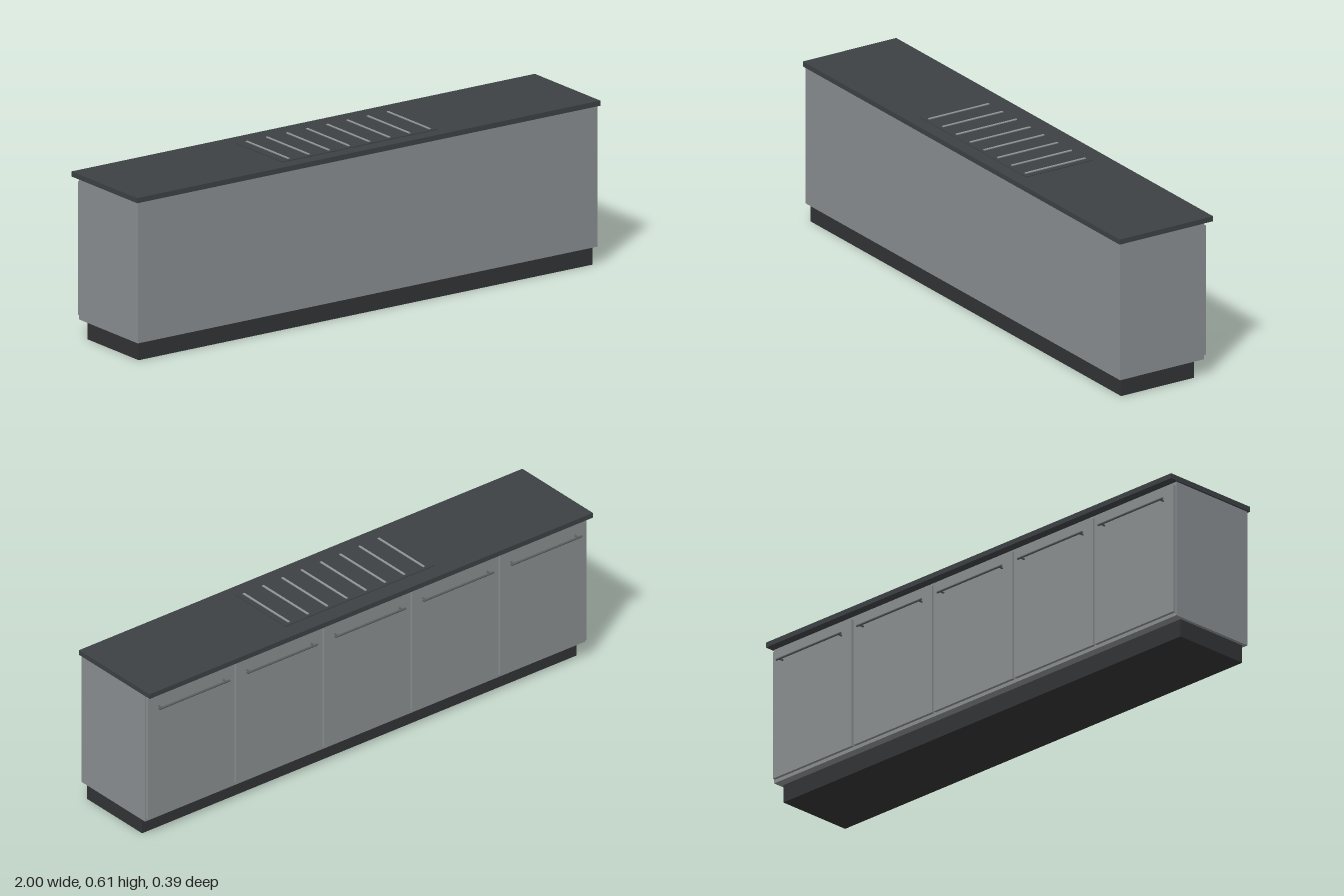
import * as THREE from 'three';

const paint = (color) => new THREE.MeshStandardMaterial({ color });

export function createModel() {
  const model = new THREE.Group();
  model.name = 'kitchenIsland';

  const cabinetPaint = paint(0x8a8e90);
  const worktopPaint = paint(0x3d4144);
  const plinthPaint = paint(0x323335);
  const handlePaint = paint(0x5a5c5e);
  const ribPaint = paint(0x909494);

  // Box given by its [min, max] range on each axis
  function box(name, material, [x0, x1], [y0, y1], [z0, z1], parent = model) {
    const mesh = new THREE.Mesh(new THREE.BoxGeometry(x1 - x0, y1 - y0, z1 - z0), material);
    mesh.position.set((x0 + x1) / 2, (y0 + y1) / 2, (z0 + z1) / 2);
    mesh.name = name;
    parent.add(mesh);
    return mesh;
  }

  // Recessed plinth, cabinet body and overhanging worktop
  box('plinth', plinthPaint, [-0.98, 0.98], [0, 0.067], [-0.13, 0.178]);
  box('cabinetBody', cabinetPaint, [-0.993, 0.993], [0.067, 0.584], [-0.163, 0.191]);
  box('worktop', worktopPaint, [-1, 1], [0.584, 0.603], [-0.197, 0.197]);

  // Raised plate with metal ribs, set into the worktop
  box('trivetPlate', worktopPaint, [-0.338, 0.335], [0.603, 0.606], [-0.133, 0.148]);
  for (let i = 0; i < 8; i++) {
    const x = -0.3 + i * 0.087;
    box('trivetRib', ribPaint, [x - 0.004, x + 0.004], [0.606, 0.609], [-0.12, 0.134]);
  }

  // Bar handle: a horizontal rod on two short posts
  const rod = new THREE.CylinderGeometry(0.004, 0.004, 0.318, 16).rotateZ(Math.PI / 2);
  const post = new THREE.CylinderGeometry(0.0035, 0.0035, 0.018, 12).rotateX(Math.PI / 2);
  function makeHandle() {
    const handle = new THREE.Group();
    handle.name = 'handle';
    const bar = new THREE.Mesh(rod, handlePaint);
    bar.name = 'handleBar';
    bar.position.z = -0.018;
    handle.add(bar);
    for (const side of [-1, 1]) {
      const leg = new THREE.Mesh(post, handlePaint);
      leg.name = 'handlePost';
      leg.position.set(side * 0.145, 0, -0.009);
      handle.add(leg);
    }
    return handle;
  }

  // Five doors along the back, each with a handle near the top
  const pitch = 0.397;
  for (let i = -2; i <= 2; i++) {
    const x = i * pitch;
    box('door', cabinetPaint, [x - 0.1945, x + 0.1945], [0.08, 0.57], [-0.174, -0.163]);
    const handle = makeHandle();
    handle.position.set(x, 0.523, -0.174);
    model.add(handle);
  }

  return model;
}
